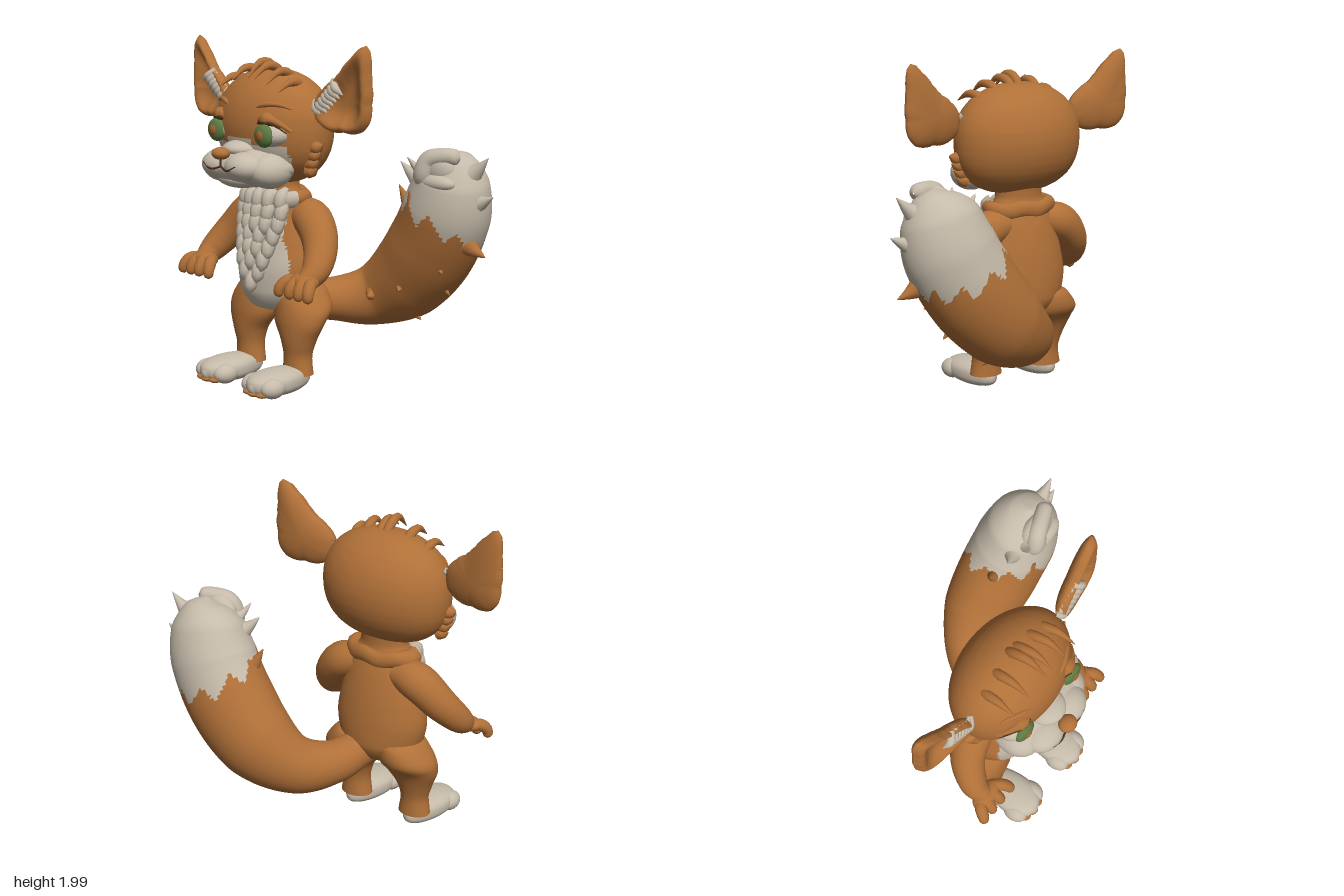
import * as THREE from 'three';
import { mergeVertices } from 'three/addons/utils/BufferGeometryUtils.js';

const mat = (name, color) => Object.assign(new THREE.MeshStandardMaterial({ color }), { name });
const V = (p) => new THREE.Vector3(...p);

export function createModel() {
  const brown = mat('brownFur', 0xb07038), light = mat('creamFur', 0xc6bbaa);
  const green = mat('greenIris', 0x5d7a41), pupilMat = mat('copperPupil', 0xa9652f), dark = mat('darkLine', 0x4a2e1a);
  const model = new THREE.Group();
  const body = new THREE.Group();
  body.name = 'body';
  body.position.x = -0.2;
  model.add(body);

  const add = (name, geo, material, parent = body) => {
    const m = new THREE.Mesh(geo, material);
    m.name = name;
    parent.add(m);
    return m;
  };
  // Move every vertex by a rule, then weld seams and smooth
  const bend = (geo, rule) => {
    const p = geo.attributes.position, v = new THREE.Vector3();
    for (let i = 0; i < p.count; i++) {
      v.fromBufferAttribute(p, i);
      rule(v, i);
      p.setXYZ(i, v.x, v.y, v.z);
    }
    geo.deleteAttribute('uv');
    geo.deleteAttribute('normal');
    const g = mergeVertices(geo, 1e-5);
    g.computeVertexNormals();
    return g;
  };
  // Upright form from rows [y, cx, cz, rx, rz], top to bottom
  const loft = (rows, s = 1, seg = 32, steps = 28) => {
    const mid = new THREE.CatmullRomCurve3(rows.map(([y, x, z]) => V([x * s, y, z])));
    const rad = new THREE.CatmullRomCurve3(rows.map((r) => V([r[3], r[4], 0])));
    return bend(new THREE.CylinderGeometry(1, 1, 1, seg, steps, true), (v) => {
      const t = THREE.MathUtils.clamp(0.5 - v.y, 0, 1), c = mid.getPoint(t), r = rad.getPoint(t);
      v.set(c.x + v.x * Math.max(r.x, 0.001), c.y, c.z + v.z * Math.max(r.y, 0.001));
    });
  };
  // Tapered tube: one radius for each path point
  const limb = (points, radii, seg = 9, steps = 10) => {
    const path = new THREE.CatmullRomCurve3(points.map(V));
    const rad = new THREE.CatmullRomCurve3(radii.map((r) => V([r, 0, 0])));
    const geo = new THREE.TubeGeometry(path, steps, 1, seg, false);
    const n = geo.attributes.normal.clone();
    return bend(geo, (v, i) => {
      const u = Math.floor(i / (seg + 1)) / steps;
      const r = Math.max(0.001, rad.getPoint(path.getUtoTmapping(u)).x);
      v.copy(path.getPointAt(u)).addScaledVector(new THREE.Vector3().fromBufferAttribute(n, i), r);
    });
  };
  const ball = (name, c, r, material, parent = body) => {
    const m = add(name, new THREE.SphereGeometry(1, 24, 16), material, parent);
    m.position.set(...c);
    m.scale.set(...r);
    return m;
  };
  // Split faces into brown and cream groups by face centre
  const paint = (geo, isLight) => {
    const p = geo.attributes.position, idx = geo.index.array, a = [], b = [];
    for (let i = 0; i < idx.length; i += 3) {
      const t = [idx[i], idx[i + 1], idx[i + 2]], c = new THREE.Vector3();
      t.forEach((k) => c.add(new THREE.Vector3().fromBufferAttribute(p, k)));
      (isLight(c.divideScalar(3)) ? b : a).push(...t);
    }
    geo.setIndex([...a, ...b]);
    geo.clearGroups();
    geo.addGroup(0, a.length, 0);
    geo.addGroup(a.length, b.length, 1);
    return geo;
  };
  const two = [brown, light];

  // Head: round in profile, fuller across the cheeks
  const headRows = Array.from({ length: 17 }, (_, i) => {
    const u = Math.cos((Math.PI * i) / 16), e = u > 0 ? 2.2 : 2.5;
    const kx = Math.max(0, 1 - Math.abs(u) ** e) ** (1 / e), kz = Math.sqrt(Math.max(0, 1 - u * u));
    return [1.515 + 0.325 * u, 0, 0.205, 0.4 * kx, 0.278 * kz];
  });
  add('head', paint(loft(headRows, 1, 72, 60), (c) => c.z > 0.34 && Math.abs(c.x) < 0.3 &&
    c.y < (Math.abs(c.x) < 0.1 ? 1.46 : 1.43)), two);

  // Muzzle, nose and mouth
  ball('muzzle', [0, 1.3, 0.39], [0.31, 0.12, 0.21], light);
  ball('noseBridge', [0, 1.4, 0.45], [0.11, 0.05, 0.11], light);
  ball('chin', [0, 1.235, 0.46], [0.16, 0.055, 0.11], light);
  ball('nose', [0, 1.385, 0.6], [0.055, 0.035, 0.05], brown);
  add('mouthCleft', limb([[0, 1.36, 0.6], [0, 1.335, 0.602], [0, 1.31, 0.602]], [0.006, 0.006, 0.006]), dark);

  // Torso with cream belly, and ruff
  add('torso', paint(loft([
    [1.26, 0, 0.19, 0.145, 0.12], [1.18, 0, 0.19, 0.145, 0.115], [1.1, 0, 0.18, 0.19, 0.13], [1, 0, 0.17, 0.22, 0.15],
    [0.85, 0, 0.17, 0.26, 0.18], [0.7, 0, 0.175, 0.285, 0.2], [0.57, 0, 0.175, 0.26, 0.2],
    [0.47, 0, 0.18, 0.17, 0.15], [0.425, 0, 0.18, 0.005, 0.005],
  ], 1, 72, 60), (c) => c.z > 0.2 && c.y < 1.12 &&
    ((c.x / 0.225) ** 2 + ((c.y - 0.7) / 0.275) ** 2 < 1 || (c.y > 0.8 && Math.abs(c.x) < 0.17))), two);
  const ruff = new THREE.TorusGeometry(1, 0.25, 12, 48).rotateX(Math.PI / 2);
  add('neckRuff', paint(bend(ruff, (v) => v.set(v.x * 0.19, 1.11 + v.y * 0.2 + 0.008 * Math.sin(v.x * 6), 0.185 + v.z * 0.125)),
    (c) => c.z > 0.225), two);

  // Overlapping chest tufts
  const chest = new THREE.Group();
  chest.name = 'chestFur';
  body.add(chest);
  for (let row = 0; row < 8; row++) {
    const y = 1.12 - row * 0.068, half = [0.15, 0.16, 0.15, 0.13, 0.11, 0.085, 0.055, 0.0][row], n = [5, 5, 5, 4, 4, 3, 2, 1][row];
    for (let i = 0; i < n; i++) {
      const x = n > 1 ? -half + (2 * half * i) / (n - 1) : 0;
      const z = 0.305 + Math.min(row, 5) * 0.011 - 1.6 * x * x;
      add('chestTuft', limb([[x, y + 0.05, z - 0.02], [x, y, z + 0.02], [x * 1.02, y - 0.05, z + 0.036], [x * 1.03, y - 0.085, z + 0.045]],
        [0.015, 0.042, 0.034, 0.002]), light, chest);
    }
  }

  // Hair locks curling forward from the crown: side offset, lift
  [[-0.24, 0.02], [-0.13, 0.03], [0.0, 0.05], [0.05, 0.035], [0.15, 0.03], [0.24, 0.015]].forEach(([x, lift]) => {
    const y = 1.825 - 1.1 * x * x;
    add('hairLock', limb([[x * 0.9, y - 0.05, 0.15], [x, y + lift - 0.01, 0.24], [x * 1.04 + 0.01, y + lift, 0.32], [x * 1.06 + 0.02, y - 0.035, 0.42]],
      [0.02, 0.028, 0.022, 0.002]), brown);
  });

  for (const s of [-1, 1]) {
    // Cheeks and mouth corners
    ball('lipPuff', [s * 0.1, 1.31, 0.5], [0.13, 0.085, 0.12], light);
    ball('muzzleCheek', [s * 0.2, 1.29, 0.41], [0.11, 0.1, 0.135], light);
    add('mouthLine', limb([[0, 1.312, 0.6], [s * 0.07, 1.295, 0.617], [s * 0.14, 1.325, 0.611]], [0.005, 0.006, 0.004]), dark);
    for (let i = 0; i < 4; i++) {
      const y = 1.43 - i * 0.045, x = s * (0.44 - i * 0.015);
      add('cheekTuft', limb([[s * 0.33, y - 0.01, 0.24], [x - s * 0.04, y - 0.005, 0.24], [x, y + 0.012, 0.24]], [0.04, 0.036, 0.004]), brown);
    }

    // Eyes and brows
    const e = s * 0.205;
    ball('eyeWhite', [e, 1.49, 0.4], [0.105, 0.068, 0.085], light).rotation.y = s * 0.2;
    ball('iris', [e, 1.49, 0.462], [0.07, 0.066, 0.035], green);
    ball('pupil', [e, 1.49, 0.485], [0.033, 0.033, 0.017], pupilMat);
    const arc = (dx, y, z) => [e + s * dx, y, z];
    add('lashLine', limb([arc(-0.11, 1.5, 0.44), arc(-0.05, 1.557, 0.455), arc(0.04, 1.557, 0.44), arc(0.11, 1.505, 0.39)], [0.003, 0.008, 0.008, 0.003]), dark);
    add('upperLid', limb([arc(-0.115, 1.515, 0.43), arc(-0.05, 1.572, 0.44), arc(0.04, 1.572, 0.425), arc(0.12, 1.515, 0.365)], [0.01, 0.02, 0.02, 0.01]), brown);
    add('brow', limb([arc(-0.105, 1.63, 0.445), arc(-0.03, 1.657, 0.425), arc(0.05, 1.657, 0.385), arc(0.11, 1.635, 0.35)], [0.005, 0.016, 0.014, 0.003]), brown);

    // Ear: a sphere pressed into a cupped leaf
    const rim = [[-180, 0.19], [-150, 0.21], [-120, 0.185], [-90, 0.16], [-50, 0.195], [-30, 0.195], [0, 0.18], [30, 0.21], [45, 0.25],
      [60, 0.335], [67, 0.35], [75, 0.27], [90, 0.185], [105, 0.15], [120, 0.137], [150, 0.15], [180, 0.19]];
    add('ear', bend(new THREE.SphereGeometry(1, 72, 28).rotateX(Math.PI / 2), (v) => {
      const a = THREE.MathUtils.radToDeg(Math.atan2(v.y, v.x * s)), r = Math.min(1, Math.hypot(v.x, v.y));
      const i = Math.max(1, rim.findIndex((q) => q[0] >= a - 1e-6));
      const len = THREE.MathUtils.mapLinear(a, rim[i - 1][0], rim[i][0], rim[i - 1][1], rim[i][1]);
      const dx = v.x * len;
      const depth = v.z > 0 ? 0.32 * r ** 4 * (1 - r * r) - 0.02 * (1 - r * r) : -0.06 * Math.sqrt(1 - r * r);
      v.set(s * 0.57 + dx, 1.68 + v.y * len, 0.2 + depth - 0.15 * dx * s);
    }), brown);
    for (let i = 0; i < 7; i++) {
      const x = 0.37 + i * 0.025, y = 1.66 + i * 0.021;
      add('earTuft', limb([[s * (x - 0.01), y + 0.015, 0.22], [s * (x + 0.03), y - 0.025, 0.25], [s * (x + 0.075), y - 0.06, 0.235]],
        [0.018, 0.024, 0.004]), light);
    }

    // Arm and hand
    add('arm', limb([[s * 0.12, 1.03, 0.14], [s * 0.26, 0.99, 0.15], [s * 0.38, 0.87, 0.2], [s * 0.45, 0.75, 0.3], [s * 0.45, 0.69, 0.38]],
      [0.085, 0.112, 0.1, 0.08, 0.055], 24, 28), brown);
    ball('palm', [s * 0.44, 0.695, 0.38], [0.105, 0.047, 0.06], brown);
    [0.53, 0.47, 0.41, 0.34].forEach((x) => {
      const tip = s * (x + (x - 0.44) * 0.25);
      add('finger', limb([[s * (0.44 + (x - 0.44) * 0.6), 0.7, 0.37], [s * x, 0.69, 0.415], [tip, 0.645, 0.45], [tip, 0.615, 0.45], [tip, 0.6, 0.448]],
        [0.03, 0.036, 0.032, 0.027, 0.003], 12, 14), brown);
    });

    // Leg and foot
    add('leg', loft([[0.63, 0.15, 0.15, 0.005, 0.005], [0.59, 0.16, 0.15, 0.12, 0.15], [0.48, 0.19, 0.16, 0.175, 0.16],
      [0.4, 0.2, 0.195, 0.165, 0.128], [0.3, 0.213, 0.215, 0.11, 0.1], [0.2, 0.21, 0.22, 0.085, 0.08], [0.1, 0.21, 0.22, 0.1, 0.08]], s), brown);
    add('foot', bend(new THREE.SphereGeometry(1, 32, 22), (v) => v.set(
      s * 0.21 + v.x * (0.12 + 0.03 * v.z), 0.083 + Math.sign(v.y) * Math.abs(v.y) ** 0.75 * 0.076, 0.36 + v.z * 0.22)), light);
    for (const i of [-1, 0, 1]) {
      ball('toe', [s * 0.21 + i * 0.082, 0.075, 0.505 - Math.abs(i) * 0.025], [0.06, 0.058, 0.08], light);
      ball('toePad', [s * 0.21 + i * 0.055, 0.043, 0.545 - Math.abs(i) * 0.012], [0.04, 0.018, 0.042], brown);
    }
  }

  // Tail with a ragged cream tip, slightly flattened front to back
  const tail = new THREE.Group();
  tail.name = 'tail';
  model.add(tail);
  const brush = add('tailBrush', paint(limb([[-0.12, 0.5, 0.14], [-0.06, 0.47, -0.1], [0.08, 0.49, -0.29], [0.28, 0.62, -0.39], [0.47, 0.83, -0.4],
    [0.6, 1.06, -0.38], [0.65, 1.25, -0.36], [0.67, 1.36, -0.34], [0.67, 1.4, -0.33]],
  [0.11, 0.13, 0.18, 0.25, 0.27, 0.265, 0.22, 0.12, 0.003], 64, 84), (c) => {
    const a = Math.atan2(c.z + 0.39, c.x - 0.58) / Math.PI, zig = 0.1 * Math.abs(((a * 5 + 10) % 1) - 0.5) * 2;
    return 0.4 * (c.x - 0.6) + 0.92 * (c.y - 1) > zig - 0.09 + 0.25 * (c.z + 0.39);
  }), two, tail);
  brush.scale.z = 0.88;
  brush.position.z = -0.047;
  // Curled lump of fur on the tip
  add('tipCurl', limb([[0.55, 1.18, -0.25], [0.57, 1.27, -0.22], [0.6, 1.35, -0.23], [0.68, 1.375, -0.26], [0.75, 1.375, -0.29], [0.77, 1.375, -0.3]],
    [0.03, 0.06, 0.055, 0.05, 0.045, 0.004], 16, 24), light, tail);
  ball('tipLump', [0.66, 1.23, -0.23], [0.13, 0.05, 0.06], light, tail);
  ball('tipFill', [0.64, 1.3, -0.27], [0.12, 0.1, 0.07], light, tail);
  // Fur spikes: root, point, root radius, colour
  [[[0.74, 1.24, -0.36], [0.91, 1.38, -0.37], 0.1, light], [[0.72, 1.09, -0.37], [0.95, 1.17, -0.37], 0.12, light],
    [[0.5, 1.2, -0.31], [0.36, 1.32, -0.25], 0.09, light], [[0.54, 1.26, -0.28], [0.47, 1.36, -0.19], 0.06, light],
    [[0.7, 0.93, -0.36], [0.91, 0.83, -0.36], 0.11, brown], [[0.4, 0.98, -0.36], [0.28, 1.17, -0.32], 0.1, brown],
    [[0.48, 0.99, -0.23], [0.51, 1.18, -0.165], 0.07, brown], [[0.53, 0.7, -0.36], [0.64, 0.57, -0.37], 0.07, brown],
    [[0.31, 0.48, -0.38], [0.41, 0.385, -0.38], 0.07, brown], [[0.6, 0.78, -0.3], [0.69, 0.72, -0.25], 0.06, brown],
    [[0.38, 0.64, -0.24], [0.43, 0.59, -0.17], 0.06, brown], [[0.18, 0.54, -0.22], [0.22, 0.53, -0.13], 0.06, brown],
  ].forEach(([a, b, r, m]) => {
    const mid = a.map((q, i) => q * 0.45 + b[i] * 0.55);
    mid[1] -= 0.012;
    add('tailSpike', limb([a, mid, b], [r, r * 0.4, 0.002]), m, tail);
  });
  return model;
}
